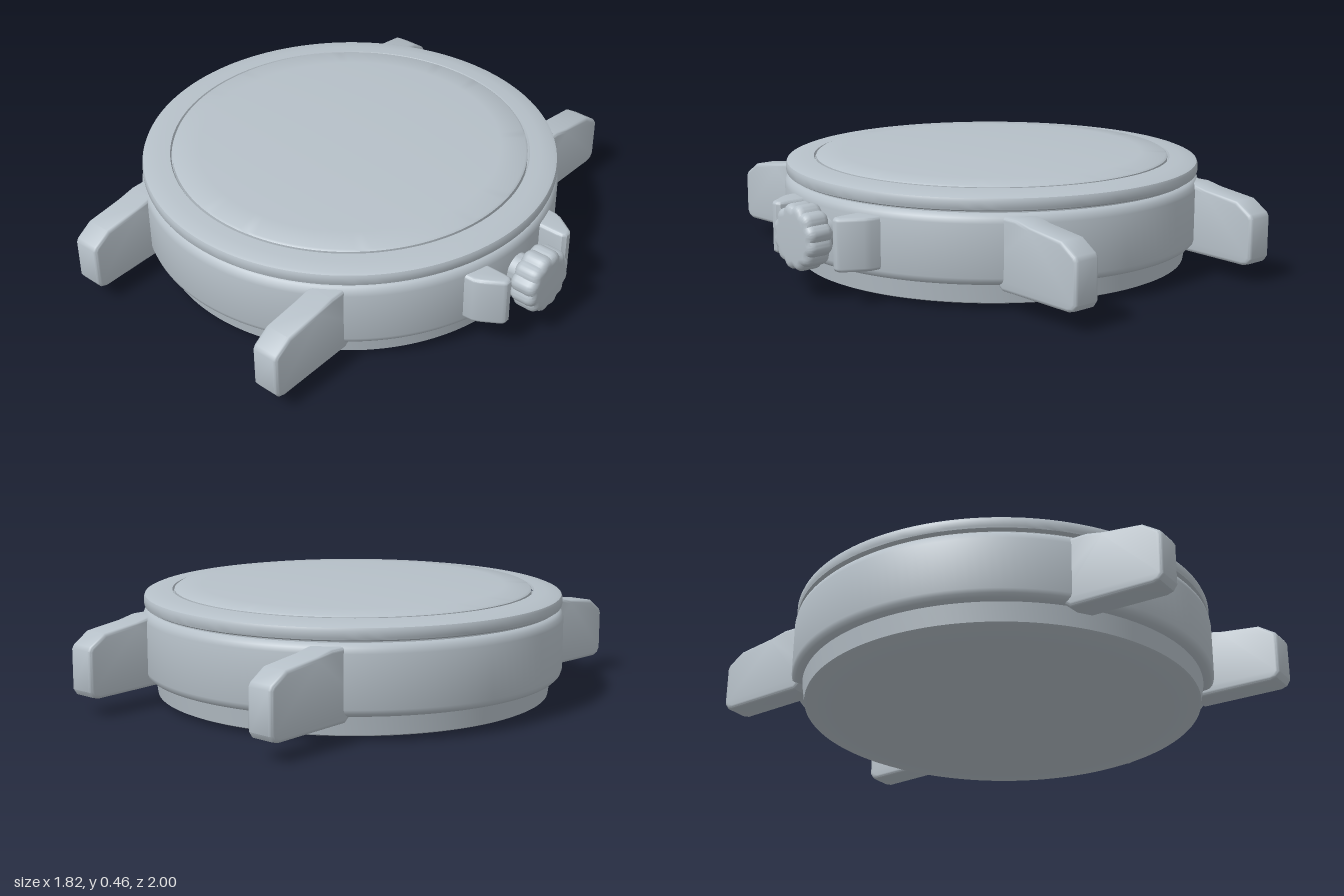
import * as THREE from 'three';
import { toCreasedNormals } from 'three/addons/utils/BufferGeometryUtils.js';

const CX = -0.08; // centre of the round case

export function createModel() {
  const model = new THREE.Group();
  model.name = 'watchCase';
  const steel = new THREE.MeshStandardMaterial({ color: 0xb6c0c8 });
  steel.name = 'brushed steel';

  const add = (name, geometry, x = 0, y = 0, z = 0) => {
    const mesh = new THREE.Mesh(toCreasedNormals(geometry, 0.6), steel);
    mesh.name = name;
    mesh.position.set(x, y, z);
    model.add(mesh);
    return mesh;
  };
  const lathe = (name, points) =>
    add(name, new THREE.LatheGeometry(points.map(([r, y]) => new THREE.Vector2(r, y)), 128), CX);

  // Extrusion centred on its own axis, rounded without growing the outline
  const rounded = (points, depth, bevel) => {
    const shape = new THREE.Shape(points.map(([a, b]) => new THREE.Vector2(a, b)));
    const geometry = new THREE.ExtrudeGeometry(shape, {
      depth: depth - 2 * bevel, bevelSize: bevel, bevelThickness: bevel,
      bevelOffset: -bevel, bevelSegments: 4,
    });
    return geometry.translate(0, 0, bevel - depth / 2);
  };

  // Round body, from the back cover up to the domed glass
  lathe('backCover', [[0, 0], [0.66, 0.003], [0.765, 0.016], [0.778, 0.022], [0.79, 0.1], [0, 0.1]]);
  lathe('caseBand', [[0, 0.095], [0.8, 0.095], [0.816, 0.099], [0.827, 0.11], [0.832, 0.126],
    [0.832, 0.325], [0.827, 0.345], [0.816, 0.357], [0.798, 0.362], [0, 0.362]]);
  lathe('bezelSeat', [[0.805, 0.355], [0.805, 0.375]]);
  lathe('bezel', [[0.7, 0.366], [0.812, 0.366], [0.823, 0.372], [0.826, 0.38], [0.826, 0.405],
    [0.822, 0.415], [0.81, 0.42], [0.76, 0.428], [0.715, 0.43], [0.71, 0.42]]);
  lathe('glass', [[0.706, 0.4], [0.706, 0.431], [0.698, 0.437], [0.6, 0.444], [0.45, 0.452],
    [0.25, 0.458], [0, 0.46]]);

  // Four strap lugs, outlined in depth and height
  const lugOutline = [[0.5, 0.1], [0.6, 0.1], [0.63, 0.076], [0.96, 0.07], [0.985, 0.078],
    [1, 0.1], [1, 0.255], [0.99, 0.272], [0.925, 0.315], [0.77, 0.335], [0.7, 0.35], [0.5, 0.35]];
  for (const side of [-1, 1]) {
    for (const end of [-1, 1]) {
      const lug = rounded(lugOutline, 0.115, 0.015).rotateY(-end * Math.PI / 2);
      add((end > 0 ? 'front' : 'back') + (side > 0 ? 'Left' : 'Right') + 'Lug', lug, CX + side * 0.47);
    }
  }

  // Scalloped crown on a short stem
  const lobes = 12, steps = 120, rim = [];
  for (let i = 0; i < steps; i++) {
    const a = i / steps * Math.PI * 2;
    const r = 0.116 + 0.01 * Math.abs(Math.sin(a * lobes / 2));
    rim.push([r * Math.cos(a), r * Math.sin(a)]);
  }
  add('crown', rounded(rim, 0.11, 0.028).rotateY(Math.PI / 2), 0.854, 0.232);
  add('crownStem', new THREE.CylinderGeometry(0.058, 0.058, 0.14, 40).rotateZ(Math.PI / 2), 0.76, 0.232);

  // Wedge-shaped push buttons on either side of the crown
  for (const s of [-1, 1]) {
    const outline = [[0.68, 0.16], [0.81, 0.16], [0.838, 0.164], [0.85, 0.178], [0.85, 0.2],
      [0.842, 0.212], [0.77, 0.258], [0.745, 0.268], [0.68, 0.272]].map(([x, z]) => [x, -s * z]);
    add(s > 0 ? 'frontPusher' : 'backPusher', rounded(outline, 0.2, 0.014).rotateX(-Math.PI / 2), 0, 0.23);
  }
  return model;
}
